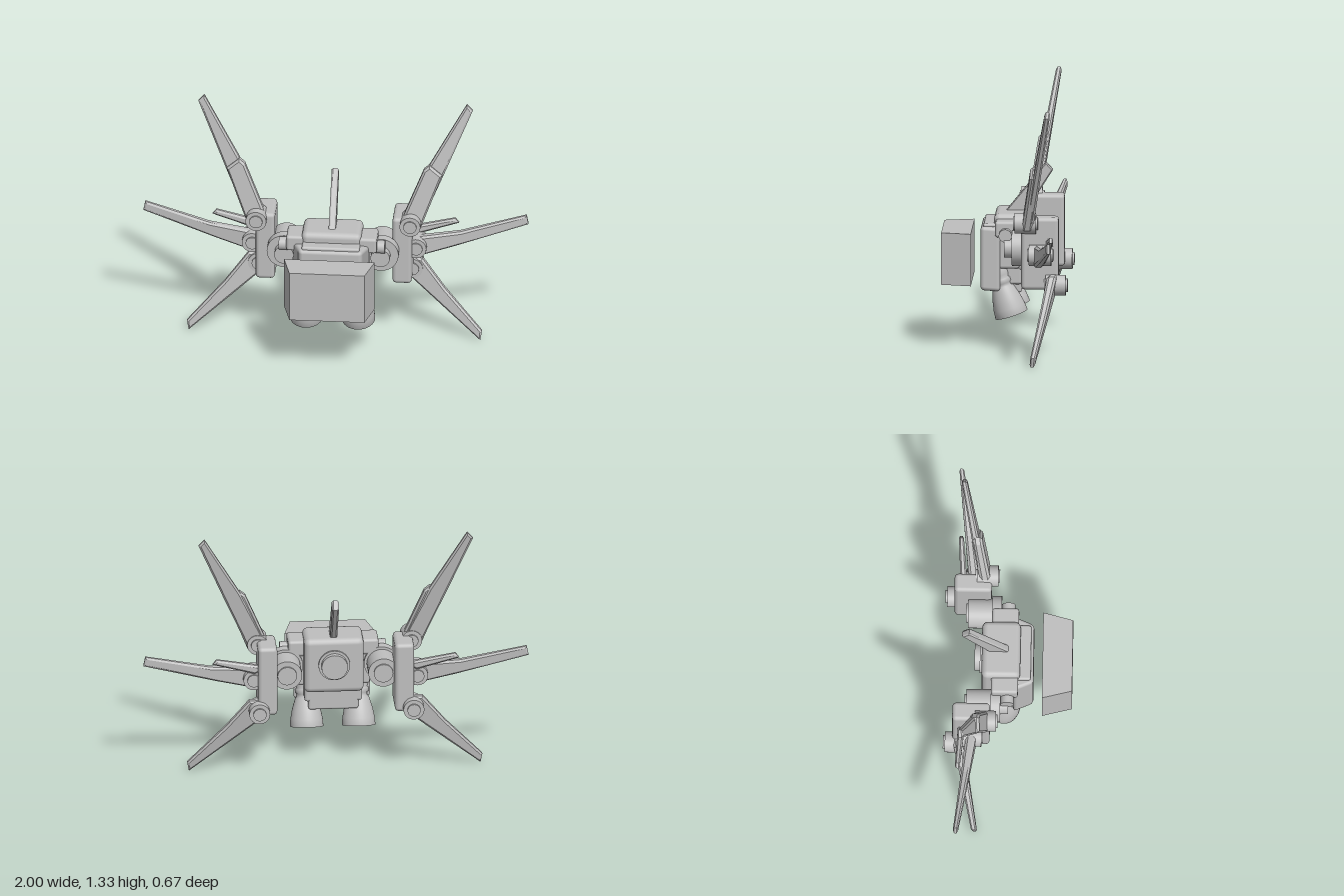
import * as THREE from 'three';
import { RoundedBoxGeometry } from 'three/addons/geometries/RoundedBoxGeometry.js';

export function createModel() {
  const model = new THREE.Group();
  model.name = 'wingedBackpack';
  const grey = new THREE.MeshStandardMaterial({ color: 0xbfbfbf });
  grey.name = 'hull grey';
  const greyOpen = new THREE.MeshStandardMaterial({ color: 0xbfbfbf, side: THREE.DoubleSide });
  greyOpen.name = 'hull grey';

  const add = (name, geo, parent = model, mat = grey) => {
    const mesh = new THREE.Mesh(geo, mat);
    mesh.name = name;
    parent.add(mesh);
    return mesh;
  };

  // Softened box given by its limits
  const box = (name, [x0, x1], [y0, y1], [z0, z1], r = 0.02, parent = model) => {
    const geo = new RoundedBoxGeometry(x1 - x0, y1 - y0, z1 - z0, 2, r);
    geo.translate((x0 + x1) / 2, (y0 + y1) / 2, (z0 + z1) / 2);
    return add(name, geo, parent);
  };

  // Round hub lying along z
  const hub = (name, x, y, z0, z1, r, parent = model) => {
    const geo = new THREE.CylinderGeometry(r, r, z1 - z0, 32);
    geo.rotateX(Math.PI / 2).translate(x, y, (z0 + z1) / 2);
    return add(name, geo, parent);
  };

  // Narrow the sides of a geometry towards its front
  const taperFront = (geo, z0, z1, k) => {
    const p = geo.attributes.position;
    for (let i = 0; i < p.count; i++) {
      const t = (p.getZ(i) - z0) / (z1 - z0);
      p.setX(i, p.getX(i) * (1 + (k - 1) * t));
    }
    return geo;
  };

  // Bevelled blade: outline in xy, leaning and thinning from root to tip
  const blade = (name, pts, root, tip, z0, z1, t0, t1, parent) => {
    const shape = new THREE.Shape(pts.map(([x, y]) => new THREE.Vector2(x, y)));
    const geo = new THREE.ExtrudeGeometry(shape, {
      depth: 0.5, bevelEnabled: true, bevelThickness: 0.25, bevelSize: 0.01,
      bevelOffset: -0.01, bevelSegments: 1,
    });
    geo.translate(0, 0, -0.25);
    const dx = tip[0] - root[0], dy = tip[1] - root[1], d2 = dx * dx + dy * dy;
    const p = geo.attributes.position;
    for (let i = 0; i < p.count; i++) {
      const t = ((p.getX(i) - root[0]) * dx + (p.getY(i) - root[1]) * dy) / d2;
      p.setZ(i, z0 + (z1 - z0) * t + p.getZ(i) * (t0 + (t1 - t0) * t));
    }
    geo.computeVertexNormals();
    return add(name, geo, parent);
  };

  // Body blocks
  box('torso', [-0.155, 0.155], [0.4, 0.7], [-0.135, 0.065], 0.03);
  box('shoulderBlock', [-0.235, 0.235], [0.59, 0.675], [-0.085, 0.055], 0.015);
  box('waistBlock', [-0.19, 0.19], [0.42, 0.6], [-0.07, 0.05], 0.015);
  box('lowerBody', [-0.15, 0.15], [0.33, 0.45], [-0.08, 0.07], 0.015);
  box('lowerBar', [-0.13, 0.13], [0.285, 0.37], [-0.08, -0.01], 0.012);
  const panel = box('frontPanel', [-0.205, 0.205], [0.3, 0.635], [0.03, 0.134], 0.02);
  taperFront(panel.geometry, 0.03, 0.134, 0.78);
  box('panelTrim', [-0.15, 0.15], [0.605, 0.65], [0.04, 0.12], 0.012);

  // Rear disc
  hub('rearDisc', 0, 0.56, -0.172, -0.12, 0.068);
  hub('rearDiscRim', 0, 0.56, -0.145, -0.12, 0.082);

  // Detached tapered block at the front
  const block = new THREE.BoxGeometry(0.47, 0.273, 0.155);
  block.translate(0, 0.4715, 0.2575);
  taperFront(block, 0.18, 0.335, 0.83);
  block.computeVertexNormals();
  add('frontBlock', block);

  // Centre fin, drawn in the zy plane
  const finShape = new THREE.Shape([
    [-0.02, 0.68], [0.2, 0.952], [0.237, 0.912], [0.09, 0.68],
  ].map(([x, y]) => new THREE.Vector2(x, y)));
  const fin = new THREE.ExtrudeGeometry(finShape, {
    depth: 0.02, bevelThickness: 0.008, bevelSize: 0.006, bevelOffset: -0.006, bevelSegments: 1,
  });
  fin.translate(0, 0, -0.01).rotateY(Math.PI / 2);
  add('centreFin', fin);

  for (const s of [1, -1]) {
    const side = new THREE.Group();
    side.name = s > 0 ? 'leftSide' : 'rightSide';
    model.add(side);
    const span = (a, b) => (s > 0 ? [a, b] : [-b, -a]);
    const flip = (pts) => pts.map(([x, y]) => [s * x, y]);

    // Shoulder knob
    const knob = new THREE.CylinderGeometry(0.034, 0.034, 0.06, 24);
    knob.rotateZ(Math.PI / 2).translate(s * 0.245, 0.607, 0);
    add('shoulderKnob', knob, side);

    // Joint and pylon
    hub('wingJoint', s * 0.25, 0.54, -0.21, -0.05, 0.078, side);
    hub('jointCollar', s * 0.25, 0.54, -0.085, -0.035, 0.092, side);
    hub('jointCap', s * 0.25, 0.54, -0.22, 0.005, 0.05, side);
    box('pylon', span(0.305, 0.405), [0.347, 0.725], [-0.282, -0.088], 0.02, side);

    // Wing hubs, each with a smaller cap
    for (const [name, x, y, z0, z1] of [
      ['upperHub', 0.4, 0.697, -0.165, -0.055],
      ['middleHub', 0.425, 0.533, -0.245, -0.13],
      ['lowerHub', 0.4, 0.373, -0.32, -0.215],
    ]) {
      hub(name, s * x, y, z0, z1, 0.054, side);
      hub(name + 'Cap', s * x, y, z0 - 0.01, z1 + 0.008, 0.034, side);
    }

    // Upper wing: slim blade in a thicker sleeve
    const upper = flip([[0.4, 0.7], [0.695, 1.32]]);
    blade('upperBlade', flip([[0.375, 0.75], [0.49, 1.0], [0.682, 1.333], [0.712, 1.3], [0.57, 0.96], [0.45, 0.68]]),
      ...upper, -0.13, -0.237, 0.045, 0.028, side);
    blade('upperSleeve', flip([[0.36, 0.73], [0.465, 0.985], [0.495, 1.01], [0.56, 0.955], [0.45, 0.665], [0.4, 0.65]]),
      ...upper, -0.122, -0.217, 0.055, 0.04, side);

    // Middle wing and its small fin
    blade('middleBlade', flip([[0.4, 0.58], [0.65, 0.606], [0.99, 0.69], [1.0, 0.64], [0.62, 0.525], [0.42, 0.47]]),
      ...flip([[0.42, 0.53], [1.0, 0.665]]), -0.18, -0.256, 0.055, 0.025, side);
    blade('smallFin', flip([[0.39, 0.585], [0.4, 0.615], [0.62, 0.66], [0.64, 0.635], [0.42, 0.57]]),
      ...flip([[0.4, 0.6], [0.64, 0.65]]), -0.235, -0.252, 0.035, 0.025, side);

    // Lower wing
    blade('lowerBlade', flip([[0.36, 0.345], [0.4, 0.43], [0.45, 0.425], [0.57, 0.27], [0.766, 0.052], [0.757, 0.002], [0.55, 0.18]]),
      ...flip([[0.4, 0.39], [0.76, 0.025]]), -0.25, -0.162, 0.05, 0.028, side);

    // Thruster: open bell with a banded neck, tilted
    const profile = [
      [0.0, 0.1], [0.04, 0.1], [0.07, 0.04], [0.08, 0], [0.087, 0], [0.084, 0.04], [0.074, 0.09],
      [0.056, 0.148], [0.048, 0.155], [0.048, 0.17], [0.055, 0.175], [0.055, 0.195], [0.048, 0.2],
      [0.053, 0.215], [0.053, 0.265], [0, 0.268],
    ].map(([r, y]) => new THREE.Vector2(r, y));
    const thruster = add('thruster', new THREE.LatheGeometry(profile, 36), side, greyOpen);
    thruster.position.set(s * 0.135, 0.173, -0.027);
    thruster.rotation.x = 0.31;
  }

  return model;
}
